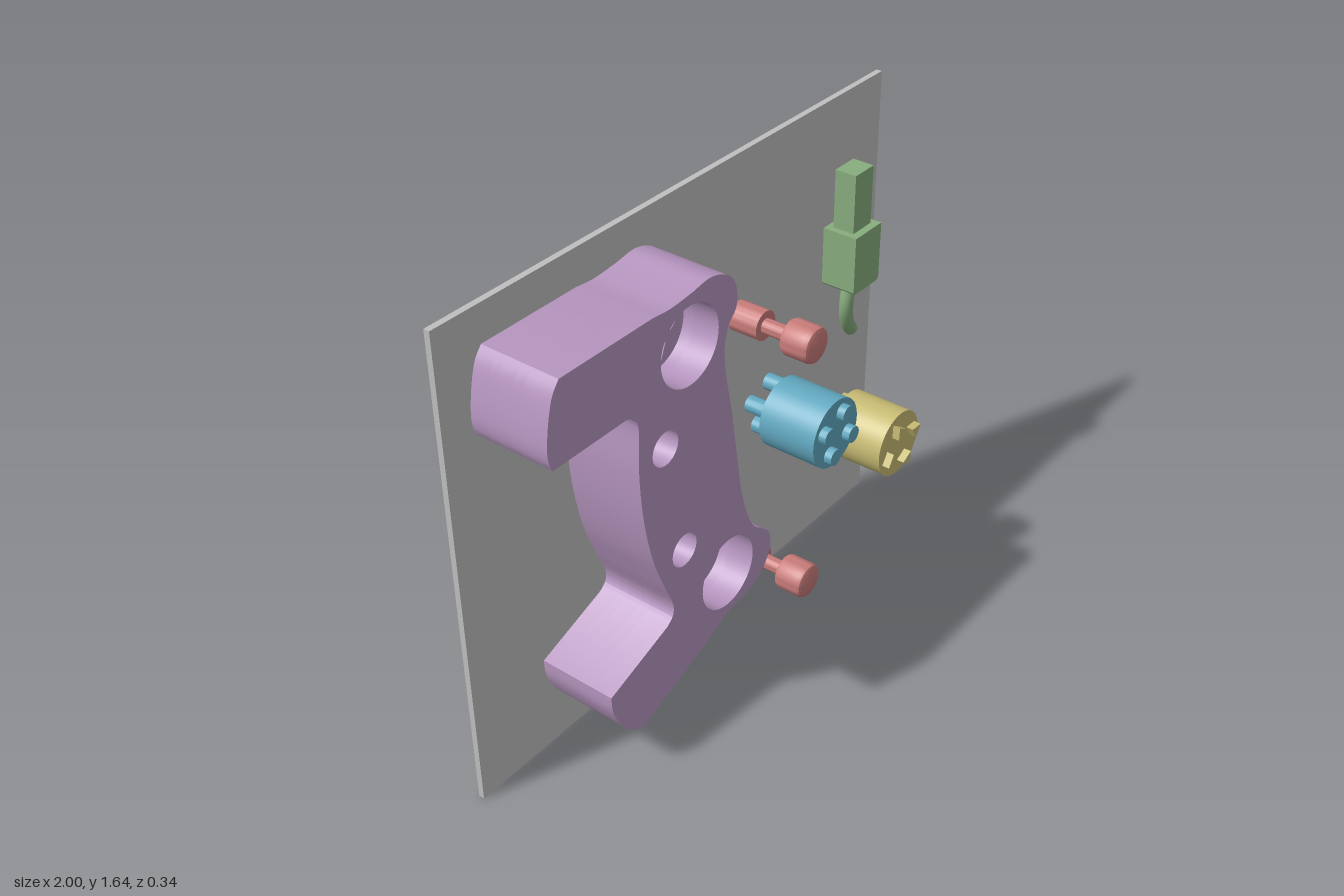
import * as THREE from 'three';
import { toCreasedNormals } from 'three/addons/utils/BufferGeometryUtils.js';

const material = (name, color) => {
  const m = new THREE.MeshStandardMaterial({ color });
  m.name = name;
  return m;
};
const V = (p) => new THREE.Vector2(p[0], p[1]);
const smooth = (pts, n = 6) => new THREE.SplineCurve(pts.map(V)).getPoints(pts.length * n);
const ring = (x, y, r, sides, turn = 0) => Array.from({ length: sides }, (_, i) => {
  const a = turn + (i / sides) * Math.PI * 2;
  return new THREE.Vector2(x + r * Math.cos(a), y + r * Math.sin(a));
});
const deg = (d) => d * Math.PI / 180;
// four positions around a centre: [x, y, angle]
const around = (x, y, r, start) => [0, 1, 2, 3].map((i) => {
  const a = deg(start + 90 * i);
  return [x + r * Math.cos(a), y + r * Math.sin(a), a];
});

export function createModel() {
  const model = new THREE.Group();
  model.name = 'controllerPartsBoard';
  const mats = {
    plate: material('board grey', 0xbfbfbf),
    body: material('handle mauve', 0xb796c0),
    red: material('screw red', 0xc87c7a),
    blue: material('round peg blue', 0x62a8c0),
    yellow: material('triangle peg yellow', 0xc8bc74),
    green: material('plug green', 0x88ad7e),
  };
  const add = (parent, name, geometry, mat) => {
    const mesh = new THREE.Mesh(geometry, mat);
    mesh.name = name;
    parent.add(mesh);
    return mesh;
  };
  const group = (name) => {
    const g = new THREE.Group();
    g.name = name;
    model.add(g);
    return g;
  };
  // prism from a closed outline between two depths
  const prism = (outline, z0, z1, holes = []) => {
    const shape = new THREE.Shape(outline);
    shape.holes = holes.map((h) => new THREE.Path(h));
    const g = new THREE.ExtrudeGeometry(shape, { depth: z1 - z0, bevelEnabled: false });
    g.translate(0, 0, z0);
    return toCreasedNormals(g, deg(35));
  };

  // backing board
  const board = add(model, 'backBoard', new THREE.BoxGeometry(2, 1.637, 0.02), mats.plate);
  board.position.set(0, 0.8185, -0.159);

  // handle outline, counter-clockwise from the upper left corner
  const left = [
    ...smooth([[-0.834, 1.519], [-0.862, 1.48], [-0.882, 1.41], [-0.893, 1.33], [-0.888, 1.285], [-0.877, 1.262]], 3),
    ...smooth([[-0.588, 1.262], [-0.558, 1.245], [-0.542, 1.198], [-0.547, 1.053], [-0.535, 0.893], [-0.503, 0.733],
      [-0.455, 0.599], [-0.418, 0.51], [-0.417, 0.465], [-0.444, 0.437]]),
    ...smooth([[-0.706, 0.342], [-0.70, 0.278], [-0.663, 0.198], [-0.615, 0.144], [-0.567, 0.123]], 4),
    ...smooth([[-0.283, 0.232], [-0.21, 0.265], [-0.139, 0.294], [-0.043, 0.31], [0.027, 0.348], [0.068, 0.412],
      [0.062, 0.476], [0.027, 0.515], [-0.021, 0.556], [-0.059, 0.636], [-0.086, 0.733]]),
  ];
  const right = smooth([[-0.134, 1.053], [-0.158, 1.176], [-0.166, 1.267], [-0.15, 1.337], [-0.112, 1.385],
    [-0.112, 1.45], [-0.15, 1.503], [-0.225, 1.53], [-0.31, 1.52], [-0.40, 1.513], [-0.47, 1.519]]);
  // side slot for the plug
  const slot = [[-0.108, 0.88], [-0.306, 0.85], [-0.322, 0.955], [-0.124, 0.985]].map(V);

  const screwHoles = [ring(-0.433, 1.08, 0.056, 32), ring(-0.358, 0.674, 0.056, 32)];
  const recesses = [ring(-0.318, 1.358, 0.126, 48), ring(-0.15, 0.452, 0.126, 48)];
  const sockets = [
    ...around(-0.318, 1.358, 0.083, 98).map(([x, y, a]) => ring(x, y, 0.042, 3, a)),
    ...around(-0.15, 0.452, 0.07, 99).map(([x, y]) => ring(x, y, 0.04, 24)),
  ];

  // handle built in depth layers: recesses in front, sockets behind, slot through the middle
  const handle = group('handle');
  [
    [0.026, 0.117, recesses, false],
    [-0.008, 0.026, recesses, true],
    [-0.06, -0.008, sockets, true],
    [-0.09, -0.06, sockets, false],
    [-0.149, -0.09, null, false],
  ].forEach(([z0, z1, holes, slotted], i) => {
    const outline = [...left, ...(slotted ? slot : []), ...right];
    add(handle, 'handleLayer' + (i + 1),
      prism(outline, z0, z1, holes ? [...screwHoles, ...holes] : []), mats.body);
  });

  // two thumb screws
  const screwProfile = [[0, -0.149], [0.05, -0.149], [0.05, -0.043], [0.025, -0.043], [0.025, 0.048], [0.048, 0.048],
    [0.057, 0.052], [0.061, 0.062], [0.061, 0.136], [0.057, 0.149], [0.046, 0.155], [0, 0.155]].map(V);
  for (const y of [1.09, 0.17]) {
    const g = new THREE.LatheGeometry(screwProfile, 40);
    g.rotateX(Math.PI / 2);
    const s = add(model, 'screw', toCreasedNormals(g, deg(40)), mats.red);
    s.position.set(0.246, y, 0);
  }

  // drum with four pins passing through
  const drum = (name, x, y, r, pins, mat) => {
    const g = group(name);
    add(g, name + 'Drum', prism(ring(x, y, r, 56), -0.069, 0.143), mat);
    for (const p of pins) {
      add(g, name + 'FrontPin', prism(p, 0.143, 0.17), mat);
      add(g, name + 'BackPin', prism(p, -0.149, -0.069), mat);
    }
  };
  drum('roundPinPeg', 0.377, 0.695, 0.122,
    around(0.377, 0.695, 0.074, 65).map(([x, y]) => ring(x, y, 0.029, 24)), mats.blue);
  drum('trianglePinPeg', 0.773, 0.433, 0.121,
    around(0.773, 0.433, 0.075, 21).map(([x, y, a]) => ring(x, y, 0.029, 3, a - deg(113))), mats.yellow);

  // plug with cable
  const plug = group('plug');
  add(plug, 'plugTip', new THREE.BoxGeometry(0.099, 0.205, 0.078), mats.green).position.set(0.772, 1.303, -0.087);
  const shell = new THREE.Shape([[0.70, 1.2], [0.70, 1.0], [0.71, 0.99], [0.835, 0.99], [0.845, 1.0], [0.845, 1.2]].map(V));
  const shellGeo = new THREE.ExtrudeGeometry(shell, { depth: 0.126, bevelEnabled: false });
  shellGeo.translate(0, 0, -0.148);
  add(plug, 'plugShell', shellGeo, mats.green);
  const path = new THREE.CatmullRomCurve3([[0.762, 1.0, -0.08], [0.75, 0.93, -0.08], [0.756, 0.88, -0.084],
    [0.782, 0.825, -0.094], [0.822, 0.778, -0.106]].map((p) => new THREE.Vector3(...p)));
  add(plug, 'cable', new THREE.TubeGeometry(path, 28, 0.024, 16), mats.green);
  // cable end cap
  const cap = add(plug, 'cableEnd', new THREE.CircleGeometry(0.024, 16), mats.green);
  cap.position.copy(path.getPoint(1));
  cap.lookAt(path.getPoint(1).add(path.getTangent(1)));
  return model;
}
